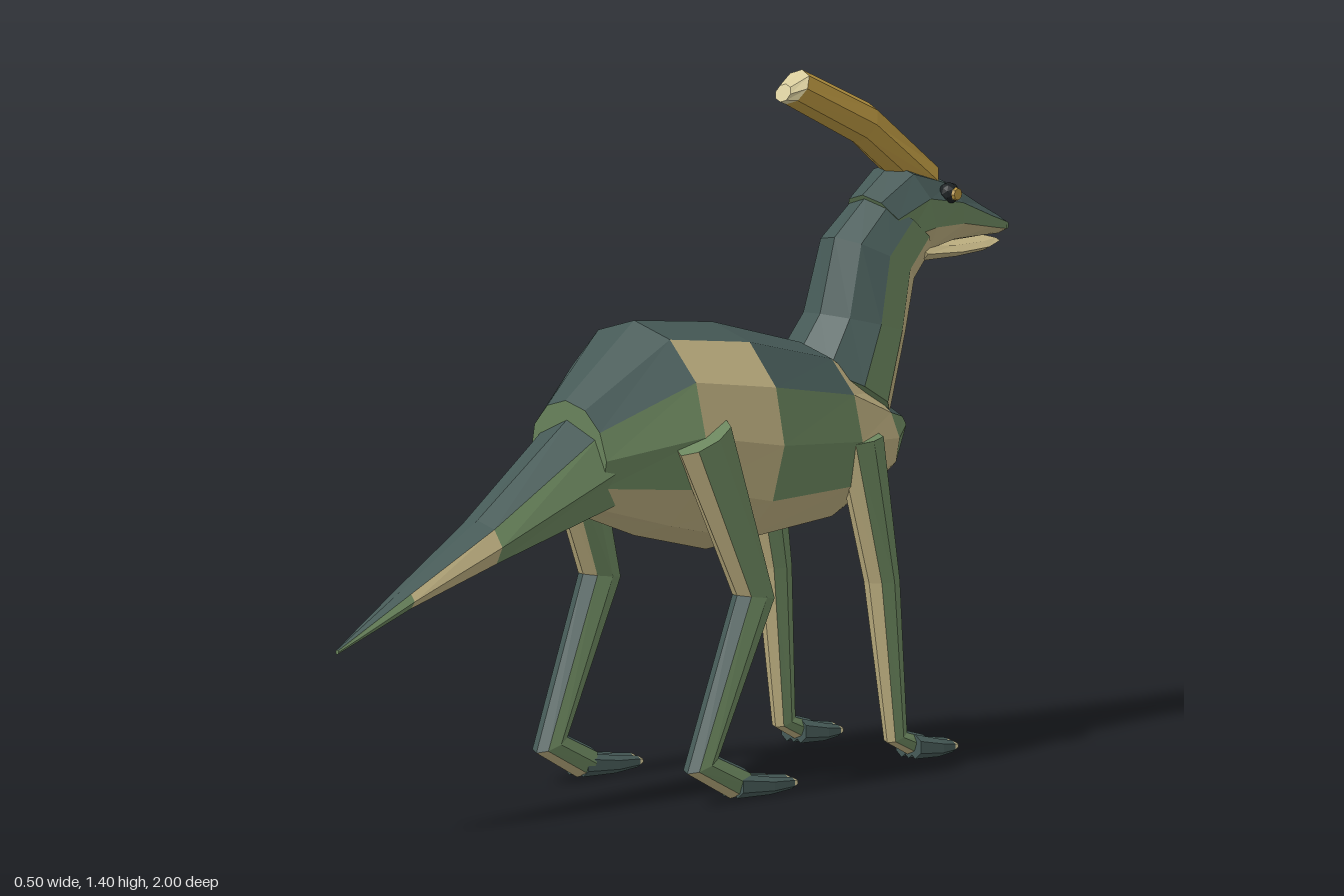
import * as THREE from 'three';

const mat = (name, color, side = THREE.FrontSide) => {
  const m = new THREE.MeshStandardMaterial({ color, flatShading: true, side });
  m.name = name;
  return m;
};

export function createModel() {
  const slate = mat('slate hide', 0x465a57);
  const green = mat('green hide', 0x6b865e);
  const tan = mat('tan hide', 0xbdaf80);
  const gold = mat('gold crest', 0xb89540);
  const cream = mat('cream horn', 0xd8cc9c);
  const black = mat('black pupil', 0x1b2022);
  const model = new THREE.Group();

  // Loft through oval rings, each [topZ, topY, bottomZ, bottomY, halfWidth, x].
  // paint(row, angle) picks the material; angle is 0 on the top edge, 180 below.
  function loft(name, sides, rings, paint, parent = model) {
    const points = rings.map(([tz, ty, bz, by, rx, x = 0]) =>
      Array.from({ length: sides }, (_, j) => {
        const a = (j / sides) * Math.PI * 2, c = Math.cos(a) / 2;
        return [x + rx * Math.sin(a), (ty + by) / 2 + (ty - by) * c, (tz + bz) / 2 + (tz - bz) * c];
      }));
    const buckets = new Map();
    const add = (m, ...corners) => {
      if (!buckets.has(m)) buckets.set(m, []);
      corners.forEach((p) => buckets.get(m).push(...p));
    };
    for (let i = 0; i < rings.length - 1; i++) {
      for (let j = 0; j < sides; j++) {
        const k = (j + 1) % sides, deg = ((j + 0.5) / sides) * 360;
        const [a, b, c, d] = [points[i][j], points[i][k], points[i + 1][k], points[i + 1][j]];
        add(paint(i, Math.min(deg, 360 - deg)), a, b, d, b, c, d);
      }
    }
    // End caps
    const last = points.length - 1;
    for (let j = 1; j < sides - 1; j++) {
      add(paint(-1, 90), points[0][0], points[0][j + 1], points[0][j]);
      add(paint(last, 90), points[last][0], points[last][j], points[last][j + 1]);
    }
    const geo = new THREE.BufferGeometry(), all = [], mats = [];
    buckets.forEach((list, m) => {
      geo.addGroup(all.length / 3, list.length / 3, mats.length);
      mats.push(m);
      all.push(...list);
    });
    geo.setAttribute('position', new THREE.Float32BufferAttribute(all, 3));
    geo.computeVertexNormals();
    const mesh = new THREE.Mesh(geo, mats);
    mesh.name = name;
    parent.add(mesh);
    return mesh;
  }

  // Dark back, green flank, tan belly
  const hide = (row, a) => (a < 60 ? slate : a < 120 ? green : tan);

  // Body with two tan flank patches
  loft('body', 12, [
    [0.3, 0.83, 0.28, 0.6, 0.1], [0.09, 0.967, 0.09, 0.53, 0.19],
    [-0.15, 0.935, -0.13, 0.475, 0.2], [-0.42, 0.86, -0.42, 0.49, 0.165],
    [-0.57, 0.76, -0.6, 0.555, 0.12], [-0.67, 0.7, -0.68, 0.635, 0.06],
  ], (row, a) => ((row === 1 || row === 3) && a > 30 && a < 120 ? tan : hide(row, a)));

  // Tail
  loft('tail', 8, [
    [1, 0.41, 1, 0.4, 0.004], [0.8, 0.507, 0.8, 0.465, 0.033],
    [0.57, 0.62, 0.56, 0.52, 0.062], [0.28, 0.8, 0.22, 0.585, 0.105],
  ], (row, a) => (a < 45 ? slate : a > 135 ? tan : row === 1 ? tan : green));

  // Neck
  loft('neck', 10, [
    [-0.4, 0.82, -0.63, 0.69, 0.125], [-0.48, 0.91, -0.69, 0.85, 0.105],
    [-0.525, 1.06, -0.725, 0.95, 0.092], [-0.62, 1.13, -0.78, 1.0, 0.083],
  ], (row, a) => (a < 60 ? slate : a < 110 ? green : tan));

  // Head, upper part and lower jaw
  loft('head', 10, [
    [-0.61, 1.135, -0.7, 1.0, 0.072], [-0.7, 1.19, -0.76, 0.995, 0.09],
    [-0.82, 1.15, -0.84, 1.01, 0.083], [-0.92, 1.09, -0.93, 1.012, 0.073],
    [-0.975, 1.06, -0.98, 1.012, 0.068], [-1, 1.048, -1, 1.015, 0.052],
  ], (row, a) => (a < 60 ? slate : a < 120 ? green : tan));
  loft('jaw', 8, [
    [-0.72, 1.03, -0.74, 0.985, 0.07], [-0.84, 1.015, -0.84, 0.983, 0.07],
    [-0.93, 1.01, -0.93, 0.984, 0.06], [-0.985, 1.008, -0.98, 0.995, 0.042],
  ], () => tan);

  // Backswept crest with pale tip
  loft('crest', 8, [
    [-0.375, 1.39, -0.358, 1.355, 0.02], [-0.425, 1.413, -0.375, 1.348, 0.036],
    [-0.63, 1.32, -0.585, 1.245, 0.041], [-0.81, 1.18, -0.76, 1.115, 0.05],
  ], (row) => (row < 1 ? cream : gold));

  // Eyes
  for (const s of [1, -1]) {
    const eye = new THREE.Group();
    eye.name = s > 0 ? 'leftEye' : 'rightEye';
    const ball = new THREE.Mesh(new THREE.IcosahedronGeometry(0.022, 1), black);
    ball.name = 'eyeball';
    const iris = new THREE.Mesh(new THREE.CylinderGeometry(0.012, 0.014, 0.006, 8), gold);
    iris.name = 'iris';
    iris.rotation.z = -s * Math.PI / 2;
    iris.position.x = s * 0.021;
    eye.add(ball, iris);
    eye.position.set(s * 0.074, 1.125, -0.79);
    model.add(eye);
  }

  // Three splayed toes with pale claws
  function toes(parent, x, z0, z1, spread) {
    for (const t of [-1, 0, 1]) {
      const x0 = x + t * 0.018, x1 = x + t * spread;
      const tip = z1 + Math.abs(t) * 0.02, mid = (z0 + tip) / 2;
      loft('toe', 6, [
        [z0, 0.062, z0, 0.012, 0.017, x0],
        [mid, 0.048, mid, 0.012, 0.014, (x0 + x1) / 2 + t * 0.008],
        [tip + 0.015, 0.04, tip + 0.015, 0.016, 0.01, x1],
        [tip, 0.033, tip, 0.022, 0.004, x1],
      ], (row) => (row >= 2 ? cream : slate), parent);
    }
  }

  // Legs: ring tops lie on the front edge
  for (const s of [1, -1]) {
    const side = s > 0 ? 'left' : 'right';
    const rear = new THREE.Group(), fore = new THREE.Group();
    rear.name = side + 'RearLeg';
    fore.name = side + 'FrontLeg';
    model.add(rear, fore);

    loft('thighAndShin', 8, [
      [0.02, 0.775, 0.16, 0.72, 0.042, s * 0.185], [-0.09, 0.405, 0.01, 0.42, 0.036, s * 0.204],
      [0.075, 0.105, 0.158, 0.075, 0.03, s * 0.2], [-0.01, 0.068, 0.03, 0.01, 0.036, s * 0.203],
    ], (row, a) => {
      const front = row === 1 ? tan : slate, back = row === 1 ? slate : tan;
      return a < 45 ? front : a > 135 ? back : green;
    }, rear);
    toes(rear, s * 0.205, 0.03, -0.15, 0.036);

    loft('forelimb', 8, [
      [-0.5, 0.68, -0.38, 0.67, 0.04, s * 0.138], [-0.543, 0.38, -0.465, 0.38, 0.034, s * 0.143],
      [-0.565, 0.07, -0.515, 0.05, 0.022, s * 0.148], [-0.62, 0.055, -0.595, 0.01, 0.028, s * 0.15],
    ], (row, a) => (a < 45 ? slate : a > 135 ? tan : green), fore);
    toes(fore, s * 0.152, -0.575, -0.705, 0.034);
  }
  return model;
}
